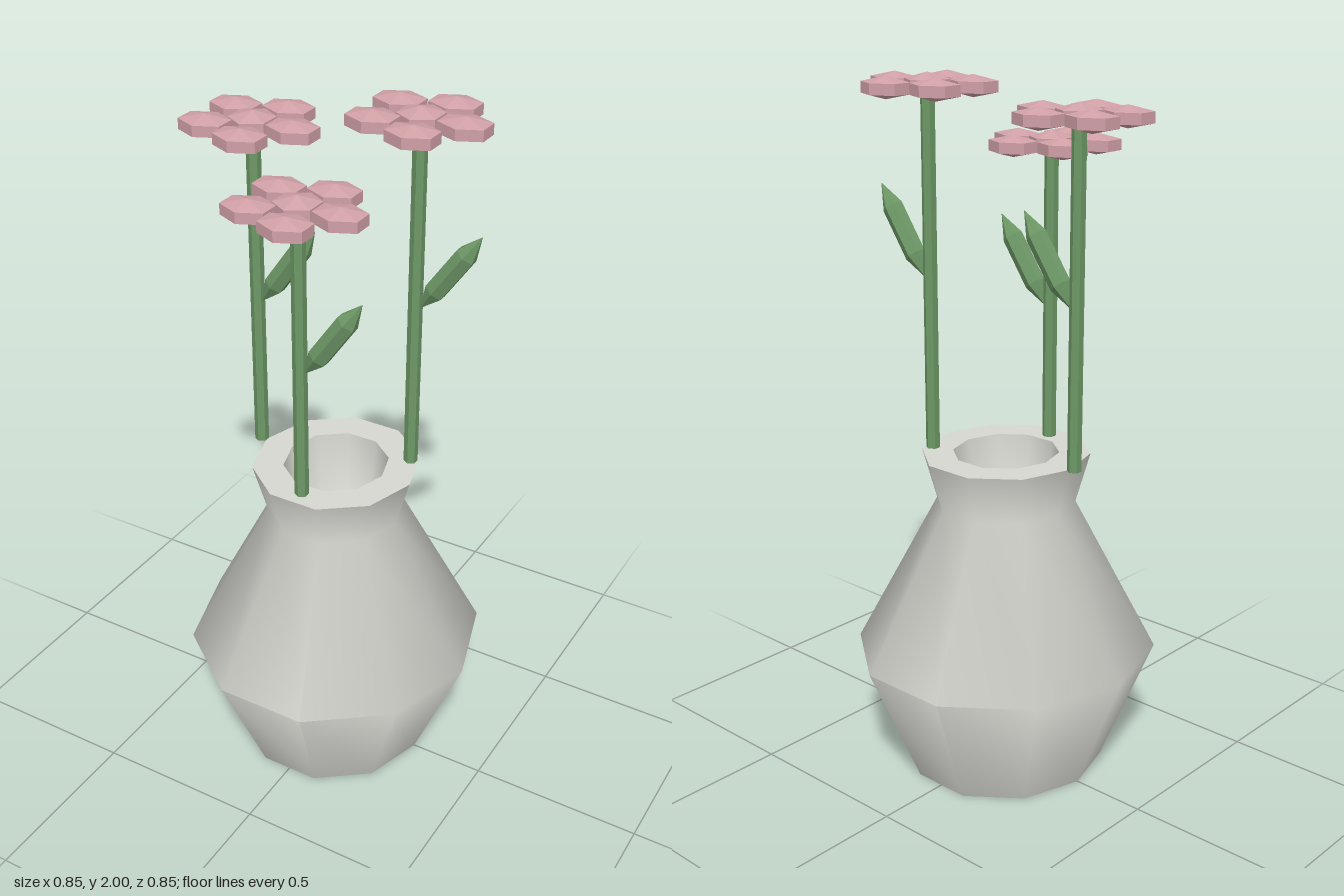
import * as THREE from 'three';
import { toCreasedNormals } from 'three/addons/utils/BufferGeometryUtils.js';

const flat = (name, color) => {
  const m = new THREE.MeshStandardMaterial({ color, flatShading: true });
  m.name = name;
  return m;
};

export function createModel() {
  const model = new THREE.Group();
  model.name = 'vaseWithFlowers';

  const ceramic = new THREE.MeshStandardMaterial({ color: 0xd6d7d0 });
  ceramic.name = 'paleCeramic';
  const pink = flat('dustyPink', 0xd0a0a6);
  const green = flat('leafGreen', 0x6d9866);

  const add = (parent, name, geometry, material, x, y, z) => {
    const mesh = new THREE.Mesh(geometry, material);
    mesh.name = name;
    mesh.position.set(x, y, z);
    parent.add(mesh);
    return mesh;
  };

  // Ten-sided vase: base, belly, neck, rim and hollow mouth
  const profile = [
    [0, 0], [0.28, 0], [0.427, 0.365], [0.195, 0.81], [0.235, 0.955],
    [0.148, 0.955], [0.13, 0.76], [0, 0.7],
  ].map(([r, y]) => new THREE.Vector2(r, y));
  const vase = new THREE.LatheGeometry(profile, 10, Math.PI / 2);
  vase.scale(1, 1, 1.051);
  add(model, 'vase', toCreasedNormals(vase, 1.06), ceramic, 0, 0, 0);

  // Flattened six-sided bead with a point towards +z, shared by petals and leaves
  const bead = (x, y, z) => {
    const g = new THREE.SphereGeometry(1, 6, 3);
    g.rotateY(Math.PI / 6);
    g.scale(x / 0.75, y, z / 0.866);
    return g;
  };
  const heart = bead(0.055, 0.035, 0.064);
  const petal = bead(0.064, 0.03, 0.058);
  const leaf = bead(0.027, 0.15, 0.027);

  // Each flower: stem position, bloom height and leaf height
  const flowers = [
    [-0.25, 0, 1.91, 1.525],
    [0.178, -0.113, 1.965, 1.565],
    [0, 0.187, 1.8, 1.46],
  ];
  for (const [x, z, top, leafY] of flowers) {
    const flower = new THREE.Group();
    flower.name = 'flower';
    flower.position.set(x, 0, z);
    model.add(flower);

    const base = 0.955;
    add(flower, 'stem', new THREE.CylinderGeometry(0.02, 0.02, top - base, 6),
      green, 0, (top + base) / 2, 0);
    add(flower, 'leaf', leaf, green, 0.1, leafY, 0).rotation.z = -0.61;

    // Bloom: centre with five petals around it
    add(flower, 'flowerCentre', heart, pink, 0, top, 0);
    for (let i = 0; i < 5; i++) {
      const a = (i / 5) * Math.PI * 2;
      add(flower, 'petal', petal, pink, 0.122 * Math.cos(a), top, 0.122 * Math.sin(a));
    }
  }
  return model;
}
